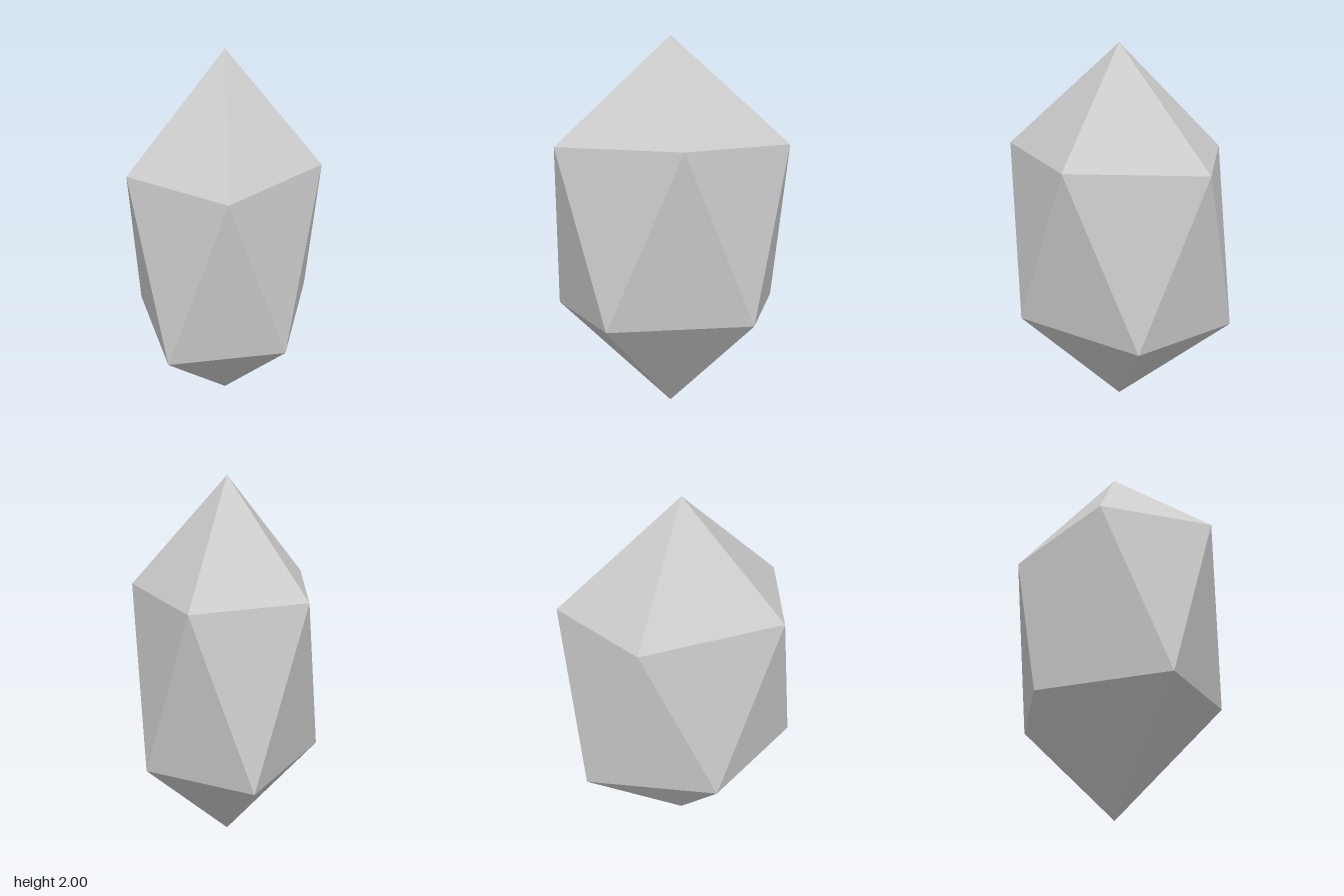
import * as THREE from 'three';

const RX = 0.495, RZ = 0.636; // ring half-widths across x and z

// Five-cornered ring at height y, turned by a number of 72 degree steps
function ring(y, turn) {
  return Array.from({ length: 5 }, (_, k) => {
    const a = ((k + turn) * Math.PI * 2) / 5;
    return new THREE.Vector3(RX * Math.cos(a), y, RZ * Math.sin(a));
  });
}

export function createModel() {
  const group = new THREE.Group();
  group.name = 'gem';

  const top = new THREE.Vector3(0, 2, 0);
  const bottom = new THREE.Vector3(0, 0, 0);
  const upper = ring(1.447, 0);
  const lower = ring(0.553, 0.5);

  // Crown facet, two waist facets and a base facet for each fifth
  const points = [];
  for (let k = 0; k < 5; k++) {
    const n = (k + 1) % 5;
    points.push(
      top, upper[n], upper[k],
      upper[k], upper[n], lower[k],
      lower[k], upper[n], lower[n],
      lower[k], lower[n], bottom
    );
  }
  const geometry = new THREE.BufferGeometry().setFromPoints(points);
  geometry.computeVertexNormals();

  const crystal = new THREE.Mesh(
    geometry,
    new THREE.MeshStandardMaterial({ color: 0xcccccc, flatShading: true })
  );
  crystal.name = 'crystal';
  group.add(crystal);
  return group;
}
